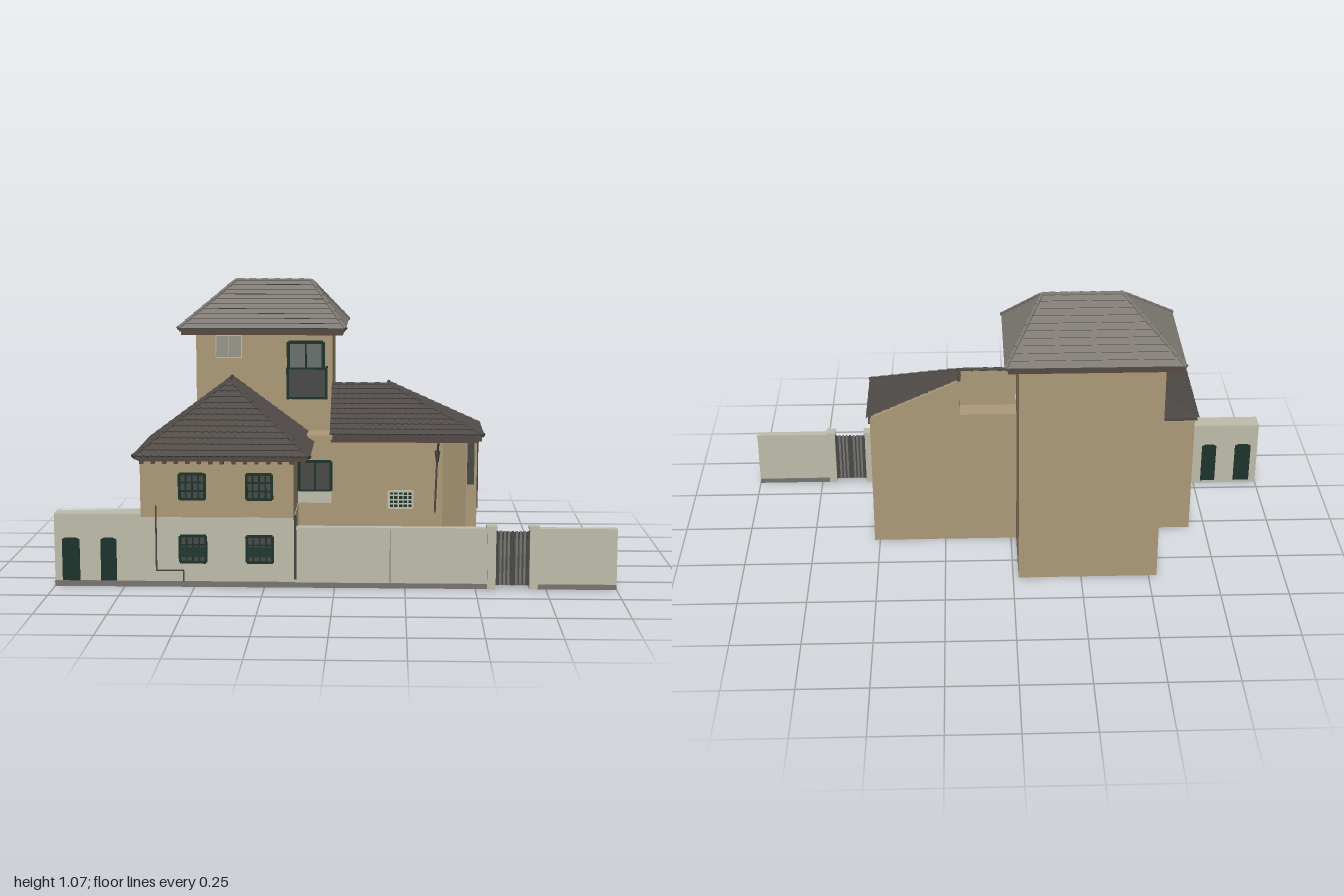
import * as THREE from 'three';

const mat = (name, color, side = THREE.FrontSide) => {
  const m = new THREE.MeshStandardMaterial({ color, side });
  m.name = name;
  return m;
};

export function createModel() {
  const wall = mat('tan plaster', 0xac9a78, THREE.DoubleSide);
  const cream = mat('cream plaster', 0xbfbdab);
  const plinth = mat('grey plinth', 0x787472);
  const paleTile = mat('pale roof tile', 0x7f7b74, THREE.DoubleSide);
  const darkTile = mat('dark roof tile', 0x504b47, THREE.DoubleSide);
  const timber = mat('eave timber', 0x5c483d);
  const green = mat('dark green joinery', 0x1d342c);
  const glass = mat('grey glass', 0x96968c);
  const darkGlass = mat('dark glass', 0x69706b);
  const iron = mat('dark iron', 0x4a4947);

  const root = new THREE.Group();
  root.name = 'walledHouse';
  const V = (x, y, z) => new THREE.Vector3(x, y, z);
  const add = (name, geo, m, parent = root) => {
    const mesh = new THREE.Mesh(geo, m);
    mesh.name = name;
    parent.add(mesh);
    return mesh;
  };
  // Box given by its limits on each axis
  const box = (name, m, x0, x1, y0, y1, z0, z1, parent = root) => {
    const b = add(name, new THREE.BoxGeometry(x1 - x0, y1 - y0, z1 - z0), m, parent);
    b.position.set((x0 + x1) / 2, (y0 + y1) / 2, (z0 + z1) / 2);
    return b;
  };
  const rod = (name, m, a, b, r, parent = root, r2 = r) => {
    const d = b.clone().sub(a);
    const c = add(name, new THREE.CylinderGeometry(r2, r, d.length(), 6), m, parent);
    c.position.copy(a).add(b).multiplyScalar(0.5);
    c.quaternion.setFromUnitVectors(V(0, 1, 0), d.normalize());
    return c;
  };
  // Flat outline in x and y, pulled along z
  const prism = (name, m, pts, z0, depth) => {
    const s = new THREE.Shape(pts.map((p) => new THREE.Vector2(p[0], p[1])));
    const g = new THREE.ExtrudeGeometry(s, { depth, bevelEnabled: false });
    return add(name, g.translate(0, 0, z0), m);
  };

  // One slope of lapped tiles: eave a to b, ridge d to c; wave > 0 adds corrugation
  const slope = (name, m, a, b, c, d, rows, step, wave, parent) => {
    const e = b.clone().sub(a).normalize();
    const U = (p) => p.clone().sub(a).dot(e);
    const up = d.clone().sub(a).addScaledVector(e, -U(d));
    const n = e.clone().cross(up).normalize();
    const pos = [];
    const tri = (...ps) => ps.forEach((p) => pos.push(p.x, p.y, p.z));
    const quad = (p, q, r, s) => { tri(p, q, r); tri(p, r, s); };
    const lo = (t) => U(d) * t;
    const hi = (t) => U(b) + (U(c) - U(b)) * t;
    const width = wave ? 0.013 : U(b);
    const cols = Math.ceil(U(b) / width);
    const point = (k, t, lift) => {
      const u = Math.min(Math.max(k * width, lo(t)), hi(t));
      return a.clone().addScaledVector(e, u).addScaledVector(up, t)
        .addScaledVector(n, lift + (k % 2 ? wave : 0));
    };
    for (let i = 0; i < rows; i++) {
      const t0 = i / rows, t1 = (i + 1) / rows;
      for (let k = 0; k < cols; k++) {
        if ((k + 1) * width <= lo(t0) || k * width >= hi(t0)) continue;
        const p = point(k, t0, step), q = point(k + 1, t0, step);
        quad(p, q, point(k + 1, t1, 0), point(k, t1, 0));
        quad(point(k, t0, -0.001), point(k + 1, t0, -0.001), q, p);
      }
    }
    const g = new THREE.BufferGeometry();
    g.setAttribute('position', new THREE.Float32BufferAttribute(pos, 3));
    g.computeVertexNormals();
    add(name, g, m, parent);
  };
  // Row of tapered cap tiles along a hip or ridge
  const caps = (m, a, b, parent) => {
    const n = Math.round(a.distanceTo(b) / 0.05);
    for (let i = 0; i < n; i++) {
      rod('capTile', m, a.clone().lerp(b, i / n), a.clone().lerp(b, (i + 1) / n), 0.0085, parent, 0.0065);
    }
  };
  // Small rafter ends along an eave
  const rafters = (a, b, y, parent) => {
    const n = Math.round(a.distanceTo(b) / 0.04);
    for (let i = 0; i <= n; i++) {
      const p = a.clone().lerp(b, i / n);
      box('rafterEnd', timber, p.x - 0.007, p.x + 0.007, y, y + 0.012, p.z - 0.007, p.z + 0.007, parent);
    }
  };
  const group = (name) => {
    const g = new THREE.Group();
    g.name = name;
    root.add(g);
    return g;
  };

  // Tower with hipped roof
  box('towerWalls', wall, -0.53, -0.02, 0, 0.88, -0.365, -0.035);
  const tr = group('towerRoof');
  box('towerSoffit', timber, -0.58, 0.02, 0.868, 0.882, -0.41, 0.01, tr);
  box('towerEave', darkTile, -0.587, 0.027, 0.882, 0.894, -0.417, 0.017, tr);
  {
    const y = 0.893, h = 1.06;
    const fl = V(-0.59, y, 0.02), fr = V(0.03, y, 0.02), br = V(0.03, y, -0.42), bl = V(-0.59, y, -0.42);
    const rl = V(-0.39, h, -0.175), rr = V(-0.105, h, -0.175);
    slope('frontTiles', paleTile, fl, fr, rr, rl, 10, 0.003, 0, tr);
    slope('rightTiles', paleTile, fr, br, rr, rr, 10, 0.003, 0, tr);
    slope('backTiles', paleTile, br, bl, rl, rr, 10, 0.003, 0, tr);
    slope('leftTiles', paleTile, bl, fl, rl, rl, 10, 0.003, 0, tr);
    [[fl, rl], [bl, rl], [fr, rr], [br, rr], [rl, rr]].forEach(([p, q]) => caps(paleTile, p, q, tr));
  }

  // Front house: upper storey over a street wall, with side and back walls
  box('upperStorey', wall, -0.69, -0.145, 0.25, 0.468, -0.035, 0.36);
  box('backWall', wall, -0.69, -0.53, 0, 0.468, -0.04, -0.03);
  box('streetWall', cream, -0.695, -0.143, 0, 0.252, 0.295, 0.362);
  box('yardWall', cream, -1, -0.69, 0, 0.262, 0.29, 0.36);
  box('sideWall', cream, -0.16, -0.143, 0, 0.252, 0.085, 0.36);
  box('streetPlinth', plinth, -1, -0.141, 0, 0.02, 0.3, 0.366);
  box('sidePlinth', plinth, -0.15, -0.14, 0, 0.02, 0.086, 0.36);
  const hr = group('houseRoof');
  box('houseSoffit', timber, -0.69, -0.1, 0.461, 0.468, -0.035, 0.405, hr);
  box('houseEave', darkTile, -0.7, -0.09, 0.468, 0.481, -0.035, 0.415, hr);
  {
    const y = 0.48, h = 0.71;
    const fl = V(-0.705, y, 0.42), fr = V(-0.085, y, 0.42), apex = V(-0.395, h, 0.09);
    const br = V(-0.085, y, -0.04), bl = V(-0.705, y, -0.04), rb = V(-0.395, h, -0.04);
    slope('frontTiles', darkTile, fl, fr, apex, apex, 13, 0.003, 0.0022, hr);
    slope('rightTiles', darkTile, fr, br, rb, apex, 13, 0.003, 0.0022, hr);
    slope('leftTiles', darkTile, bl, fl, apex, rb, 13, 0.003, 0.0022, hr);
    [[fl, apex], [fr, apex], [apex, rb]].forEach(([p, q]) => caps(darkTile, p, q, hr));
    rafters(V(-0.68, 0, 0.39), V(-0.11, 0, 0.39), 0.45, hr);
    rafters(V(-0.11, 0, 0.39), V(-0.11, 0, 0.1), 0.45, hr);
  }

  // Side wing with splayed corner: open shell of wall panels
  const plan = [[-0.145, 0.085], [0.39, 0.085], [0.48, 0.01], [0.52, 0.01], [0.52, -0.095], [-0.021, -0.095]];
  for (let i = 0; i < plan.length - 1; i++) {
    const [x0, z0] = plan[i], [x1, z1] = plan[i + 1];
    const p = add('wingWall', new THREE.PlaneGeometry(Math.hypot(x1 - x0, z1 - z0), 0.505), wall);
    p.position.set((x0 + x1) / 2, 0.2525, (z0 + z1) / 2);
    p.rotation.y = Math.atan2(z0 - z1, x1 - x0);
  }
  box('linkTop', wall, -0.145, -0.02, 0.495, 0.504, -0.035, 0.085);
  box('terrace', wall, -0.02, 0.188, 0.5, 0.54, -0.095, -0.01);
  prism('roofEndWall', wall, [[0.188, 0.5], [0.52, 0.5], [0.52, 0.53], [0.188, 0.68]], -0.095, 0.085);
  prism('ridgeWall', wall, [[-0.02, 0.5], [0.19, 0.5], [0.19, 0.682], [-0.02, 0.682]], -0.018, 0.008);
  const gable = prism('gableWall', wall, [[0.01, 0.51], [0.01, 0.68], [-0.215, 0.528], [-0.215, 0.51]], 0, 0.008);
  gable.rotation.y = Math.PI / 2;
  gable.position.x = -0.02;
  const wr = group('wingRoof');
  box('wingSoffit', timber, -0.018, 0.515, 0.499, 0.506, -0.09, 0.205, wr);
  box('wingEave', darkTile, -0.02, 0.526, 0.506, 0.532, -0.094, 0.215, wr);
  {
    const y = 0.53, h = 0.684;
    const fl = V(-0.022, y, 0.222), fr = V(0.532, y, 0.222), br = V(0.532, y, -0.096);
    const rl = V(-0.022, h, -0.012), rr = V(0.19, h, -0.012), rb = V(0.19, h, -0.096);
    slope('frontTiles', darkTile, fl, fr, rr, rl, 10, 0.003, 0.0022, wr);
    slope('rightTiles', darkTile, fr, br, rb, rr, 12, 0.003, 0.0022, wr);
    [[fr, rr], [rl, rr], [rr, rb]].forEach(([p, q]) => caps(darkTile, p, q, wr));
  }

  // Framed windows facing front: pane plus frame and bars
  const windowAt = (name, x0, x1, y0, y1, z, frame, pane, nx, ny, t = 0.0035) => {
    const g = group(name);
    box('pane', pane, x0, x1, y0, y1, z - 0.002, z + 0.002, g);
    for (let i = 0; i <= nx; i++) {
      const x = x0 + ((x1 - x0) * i) / nx, w = i % nx ? t * 0.6 : t;
      box('upright', frame, x - w, x + w, y0, y1, z, z + 0.005, g);
    }
    for (let i = 0; i <= ny; i++) {
      const y = y0 + ((y1 - y0) * i) / ny, w = i % ny ? t * 0.6 : t;
      box('rail', frame, x0, x1, y - w, y + w, z, z + 0.005, g);
    }
  };
  for (const x of [-0.55, -0.312]) {
    windowAt('upperWindow', x, x + 0.09, 0.318, 0.408, 0.36, green, iron, 4, 3, 0.005);
    box('windowSill', wall, x - 0.008, x + 0.098, 0.306, 0.314, 0.355, 0.368);
    windowAt('lowerWindow', x, x + 0.092, 0.09, 0.185, 0.362, green, iron, 4, 3, 0.005);
    box('lowerWindowBack', iron, x, x + 0.092, 0.09, 0.185, 0.291, 0.296);
    box('tiltedShutter', green, x, x + 0.092, 0.112, 0.148, 0.373, 0.378).rotation.x = -0.25;
  }
  windowAt('towerWindow', -0.455, -0.36, 0.78, 0.862, -0.035, cream, glass, 2, 1, 0.002);
  windowAt('linkWindow', -0.14, -0.022, 0.298, 0.408, 0.085, green, iron, 2, 1, 0.005);
  box('linkLedge', cream, -0.143, -0.02, 0.255, 0.296, 0.085, 0.1);
  windowAt('wingVent', 0.192, 0.28, 0.235, 0.298, 0.085, cream, green, 5, 4, 0.004);
  box('cornerOpening', iron, 0.484, 0.51, 0.31, 0.495, 0.006, 0.014);
  box('sideShutter', green, -0.145, -0.136, 0.3, 0.45, 0.09, 0.102);

  // Tower balcony and its door
  windowAt('balconyDoor', -0.185, -0.055, 0.63, 0.838, -0.035, green, darkGlass, 2, 1, 0.006);
  const bal = group('balcony');
  box('balconyFront', iron, -0.185, -0.04, 0.635, 0.745, 0.012, 0.018, bal);
  box('balconyFloor', iron, -0.185, -0.04, 0.63, 0.638, -0.035, 0.018, bal);
  for (const x of [-0.185, -0.042]) {
    box('balconySide', glass, x - 0.003, x + 0.003, 0.635, 0.742, -0.035, 0.015, bal);
    box('balconyPost', green, x - 0.005, x + 0.005, 0.63, 0.748, 0.012, 0.021, bal);
    box('balconySideRail', green, x - 0.004, x + 0.004, 0.742, 0.748, -0.035, 0.02, bal);
  }
  for (const y of [0.632, 0.741]) box('balconyRail', green, -0.185, -0.04, y, y + 0.007, 0.012, 0.021, bal);

  // Yard doors with shallow arched heads, on both faces of the wall
  for (const [x0, x1] of [[-0.973, -0.91], [-0.835, -0.778]]) {
    const pts = [[x0, 0.012], [x1, 0.012], [x1, 0.17], [x1 - 0.012, 0.176], [x0 + 0.012, 0.176], [x0, 0.17]];
    prism('yardDoor', green, pts, 0.358, 0.005);
    prism('yardDoorBack', green, pts, 0.287, 0.005);
  }

  // Boundary wall with gate
  for (const [x0, x1] of [[-0.143, 0.545], [0.715, 1]]) {
    box('boundaryWall', cream, x0, x1, 0, 0.212, 0.344, 0.362);
    box('boundaryCoping', cream, x0, x1, 0.21, 0.22, 0.339, 0.367);
    box('boundaryPlinth', plinth, x0, x1, 0, 0.018, 0.341, 0.366);
  }
  box('wallJoint', plinth, 0.196, 0.199, 0.018, 0.21, 0.36, 0.3635);
  for (const x of [0.557, 0.706]) {
    box('gatePier', cream, x - 0.015, x + 0.015, 0, 0.222, 0.338, 0.37);
    box('pierCap', cream, x - 0.019, x + 0.019, 0.218, 0.229, 0.334, 0.374);
  }
  const gate = group('gate');
  box('gatePanel', iron, 0.572, 0.691, 0.012, 0.205, 0.35, 0.354, gate);
  for (let i = 0; i <= 8; i++) {
    const x = 0.575 + i * 0.0141;
    box('gateBar', i % 4 ? plinth : iron, x - 0.004, x + 0.004, 0.012, 0.208, 0.348, 0.356, gate);
  }

  // Drain pipes
  const pipe = (r, ...pts) => {
    for (let i = 0; i < pts.length - 1; i++) rod('drainPipe', iron, V(...pts[i]), V(...pts[i + 1]), r);
  };
  pipe(0.003, [-0.635, 0.295, 0.364], [-0.635, 0.06, 0.366], [-0.538, 0.06, 0.366], [-0.538, 0.02, 0.368]);
  pipe(0.005, [-0.14, 0.262, 0.364], [-0.14, 0.03, 0.366]);
  pipe(0.004, [0.374, 0.5, 0.12], [0.37, 0.44, 0.09], [0.362, 0.22, 0.09]);
  pipe(0.003, [0.522, 0.5, 0.006], [0.522, 0.22, 0.006]);
  rod('rainHead', iron, V(0.37, 0.41, 0.092), V(0.37, 0.45, 0.092), 0.006, root, 0.012);
  return root;
}
